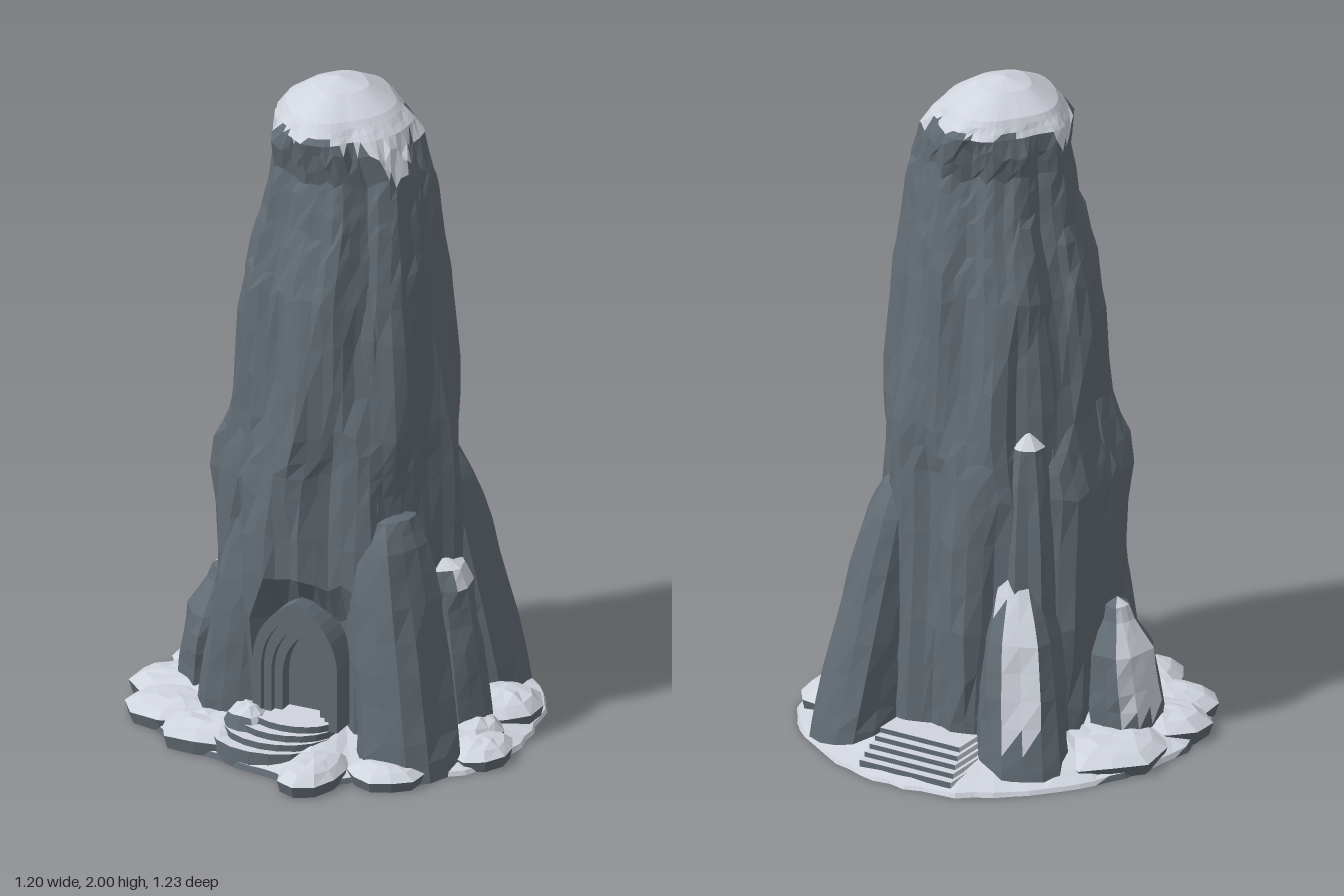
import * as THREE from 'three';

const rock = new THREE.MeshStandardMaterial({ color: 0x626c74, flatShading: true });
rock.name = 'slate rock';
const snow = new THREE.MeshStandardMaterial({ color: 0xd0d4dd, flatShading: true });
snow.name = 'snow';

const TAU = Math.PI * 2;
const hash = (a, b, c = 0) => {
  const s = Math.sin(a * 127.1 + b * 311.7 + c * 74.7) * 43758.5453;
  return (s - Math.floor(s)) * 2 - 1;
};
// triangle wave, gives sharp vertical folds
const fold = (t) => Math.abs(t - Math.floor(t) - 0.5) * 4 - 1;
const lerp = (a, b, t) => a + (b - a) * t;

// sample a table of rows at a fractional index
function sample(rows, f) {
  const i = Math.min(Math.floor(f), rows.length - 2);
  return rows[i].map((a, k) => lerp(a, rows[i + 1][k], f - i));
}

// closed skin from rings; each triangle is rock or snow according to a rule
function skin(name, nu, nv, point, isSnow) {
  const lists = [[], []];
  const grid = [];
  for (let j = 0; j <= nv; j++) {
    grid.push([]);
    for (let i = 0; i < nu; i++) grid[j].push(point(i, j));
  }
  const tri = (a, b, c) => {
    const n = b.clone().sub(a).cross(c.clone().sub(a));
    if (n.length() < 1e-9) return;
    const mid = a.clone().add(b).add(c).divideScalar(3);
    const list = lists[isSnow(mid, n.normalize()) ? 1 : 0];
    for (const p of [a, b, c]) list.push(p.x, p.y, p.z);
  };
  for (let j = 0; j < nv; j++) for (let i = 0; i < nu; i++) {
    const k = (i + 1) % nu;
    tri(grid[j][i], grid[j][k], grid[j + 1][k]);
    tri(grid[j][i], grid[j + 1][k], grid[j + 1][i]);
  }
  const g = new THREE.BufferGeometry();
  g.setAttribute('position', new THREE.Float32BufferAttribute(lists[0].concat(lists[1]), 3));
  g.addGroup(0, lists[0].length / 3, 0);
  g.addGroup(lists[0].length / 3, lists[1].length / 3, 1);
  g.computeVertexNormals();
  const mesh = new THREE.Mesh(g, [rock, snow]);
  mesh.name = name;
  return mesh;
}

// main spire: y, min x, max x, min z, max z
function makeTower() {
  const rows = [
    [0, -0.31, 0.34, -0.38, 0.34], [0.4, -0.345, 0.345, -0.38, 0.34], [0.8, -0.35, 0.35, -0.355, 0.335],
    [1.0, -0.3, 0.345, -0.335, 0.325], [1.4, -0.27, 0.31, -0.28, 0.285], [1.6, -0.215, 0.29, -0.235, 0.24],
    [1.75, -0.195, 0.27, -0.2, 0.21], [1.88, -0.19, 0.22, -0.23, 0.24], [1.93, -0.155, 0.17, -0.19, 0.195],
    [1.98, -0.08, 0.09, -0.09, 0.09], [2, 0, 0, 0, 0]];
  const nu = 56, nv = (rows.length - 1) * 3;
  return skin('rockSpire', nu, nv, (i, j) => {
    const [y, x0, x1, z0, z1] = sample(rows, j / 3);
    const rough = y > 1.9 ? 0.15 : y > 1.85 ? 0.5 : 1;
    const u = i / nu, a = u * TAU + 0.025 * rough * hash(i, Math.floor(j / 3));
    const folds = 0.06 * fold(7 * u + 0.25 * Math.sin(y * 3)) + 0.035 * fold(12 * u - 0.35 * Math.sin(y * 2.3 + 1))
      + 0.015 * hash(i, Math.floor(j / 2), 2);
    // the cap is diamond shaped in plan
    const s = (1 + rough * (folds - 0.01)) * (y > 1.85 ? 1 - 0.1 * Math.sin(2 * a) ** 2 : 1);
    const x = (x0 + x1) / 2 + Math.sin(a) * s * (x1 - x0) / 2;
    let z = (z0 + z1) / 2 + Math.cos(a) * s * (z1 - z0) / 2;
    // recess behind the doorway
    if (Math.abs(x - 0.03) < 0.14 && y < 0.5) z = Math.min(z, 0.25);
    const jy = y > 0.05 && y < 1.87 ? 0.02 * hash(i, j, 3) : 0;
    return new THREE.Vector3(x, y + jy, z);
  }, (m) => {
    // jagged snow line with tongues hanging down the sides
    const a = Math.atan2(m.x, m.z);
    const tongues = 0.11 * Math.max(0, Math.cos(a - 1.15)) ** 14 + 0.04 * Math.max(0, Math.cos(a - 1.8)) ** 8
      + 0.07 * Math.max(0, Math.cos(a + 1.35)) ** 8;
    return m.y > 1.885 - tongues + 0.015 * Math.sin(a * 9);
  });
}

// leaning rock pillar, its axis drawn toward the spire as it rises; faces turned to snowDir are snowy
function makePillar(name, [x, z, h, rx, rz, lean, top], seed, snowDir, limit) {
  const rows = [[0, 1], [0.15, 1.02], [0.4, 0.97], [0.65, 0.88], [0.85, top], [0.95, top * 0.75], [1, 0]];
  const nu = 14, toward = new THREE.Vector3(...snowDir).normalize();
  return skin(name, nu, 12, (i, j) => {
    const [t, s] = sample(rows, j / 2);
    const a = i / nu * TAU;
    const w = s * (1 + 0.08 * fold(5 * i / nu + seed * 0.37 + 0.3 * t) + 0.06 * hash(i, Math.floor(j / 2), seed));
    const k = 1 - lean * t;
    return new THREE.Vector3(x * k + Math.sin(a) * rx * w, t * h, z * k + Math.cos(a) * rz * w);
  }, (m, n) => n.dot(toward) > limit && m.y > 0.2 * h);
}

// low, broad boulder on the ground with a snowy top
function makeBoulder(x, z, h, rx, rz, seed) {
  const rows = [[0, 0], [0, 0.95], [0.5, 1.03], [0.85, 0.75], [1, 0.4], [1.03, 0]];
  return skin('boulder', 10, 5, (i, j) => {
    const [t, s] = rows[j];
    const a = i / 10 * TAU, w = s * (1 + 0.12 * hash(i, 1, seed));
    return new THREE.Vector3(x + Math.sin(a) * rx * w, t * h * (1 + 0.06 * hash(i * (j < 5), j, seed)), z + Math.cos(a) * rz * w);
  }, (m, n) => n.y > 0.4 || n.y < -0.5);
}

// snowy ground, radius every 15 degrees from the front toward +x
function makeGround() {
  const radii = [0.5, 0.56, 0.5, 0.52, 0.56, 0.6, 0.58, 0.58, 0.6, 0.6, 0.6, 0.61, 0.61, 0.62, 0.6, 0.58, 0.58, 0.58,
    0.59, 0.59, 0.59, 0.53, 0.5, 0.49];
  const rows = [[0, 0], [1, 0], [0.99, 0.015], [0.9, 0.032], [0.72, 0.06], [0.5, 0.09], [0, 0.09]];
  const nu = 72;
  return skin('snowyGround', nu, rows.length - 1, (i, j) => {
    const a = i / nu * TAU, f = i / 3, k = Math.floor(f);
    const r = lerp(radii[k], radii[(k + 1) % 24], f - k) * (1 + 0.012 * hash(i, 1));
    const [s, y] = rows[j];
    // drifts pile higher away from the back steps
    const drift = 1 + 0.2 * Math.cos(a + 0.5);
    const bump = j > 1 && j < 6 ? drift + 0.15 * hash(Math.floor(i / 3), j, 5) : 1;
    return new THREE.Vector3(Math.sin(a) * r * s, y * bump, Math.cos(a) * r * s);
  }, (m, n) => n.y > 0.35 || n.y < -0.5);
}

// pointed arch outline, standing on y = 0
function archPath(Type, w, h) {
  const p = new Type(), spring = h * 0.5;
  p.moveTo(-w, 0);
  p.lineTo(w, 0);
  p.lineTo(w, spring);
  p.quadraticCurveTo(w * 0.95, h * 0.82, 0, h);
  p.quadraticCurveTo(-w * 0.95, h * 0.82, -w, spring);
  p.closePath();
  return p;
}

function makeDoorway() {
  const door = new THREE.Group();
  door.name = 'doorway';
  const sizes = [[0.135, 0.385, 0.13], [0.108, 0.345, 0.11], [0.085, 0.3, 0.088], [0.06, 0.26, 0.045]];
  sizes.forEach(([w, h, depth], i) => {
    const shape = archPath(THREE.Shape, w, h);
    if (i < 3) shape.holes.push(archPath(THREE.Path, ...sizes[i + 1]));
    const m = new THREE.Mesh(new THREE.ExtrudeGeometry(shape, { depth, bevelEnabled: false, curveSegments: 8 }), rock);
    m.name = i < 3 ? 'archMoulding' : 'doorPanel';
    door.add(m);
  });
  door.position.set(0.028, 0.1, 0.215);
  return door;
}

export function createModel() {
  const model = new THREE.Group();
  model.name = 'snowyRockTower';
  model.add(makeGround(), makeTower(), makeDoorway());

  // rock pillars: [x, z, height, radii, lean, top width], snowy direction and limit
  const up = [0, 1, 0];
  const pillars = [
    ['frontLeftButtress', [0.345, 0.245, 0.78, 0.145, 0.155, 0.34, 0.75], up, 1],
    ['leftButtress', [0.4, 0, 0.56, 0.09, 0.1, 0.16, 0.85], [0.8, 1, 0], 0.8],
    ['backLeftButtress', [0.305, -0.34, 0.82, 0.12, 0.135, 0.36, 0.75], up, 1],
    ['backRightButtress', [-0.25, -0.355, 0.62, 0.13, 0.115, 0.3, 0.6], [-0.35, 0.4, -0.8], 0.88],
    ['rightButtress', [-0.39, 0.03, 0.43, 0.1, 0.13, 0.1, 0.4], [-0.8, 0.5, -0.45], 0.78],
    ['frontRightButtress', [-0.23, 0.2, 0.74, 0.11, 0.12, 0.22, 0.65], up, 1],
    ['tallFrontLeftRidge', [0.235, 0.18, 1.52, 0.09, 0.1, 0.25, 0.8], up, 1],
    ['tallFrontRightRidge', [-0.19, 0.13, 1.5, 0.11, 0.12, 0.18, 0.85], up, 1],
    ['tallBackRightRidge', [-0.19, -0.18, 1.42, 0.11, 0.11, 0.22, 0.8], up, 1],
    ['tallBackLeftRidge', [0.2, -0.18, 1.5, 0.11, 0.11, 0.25, 0.8], up, 1],
    ['overhangingFrontRidge', [0.045, 0.15, 1.38, 0.055, 0.09, -0.5, 0.85], up, 1],
    ['snowyBackShelf', [-0.21, -0.24, 1.02, 0.09, 0.09, 0.05, 0.7], up, 0.6]];
  pillars.forEach(([name, dims, dir, limit], i) => model.add(makePillar(name, dims, i + 1, dir, limit)));

  // boulders: x, z, height, radii
  const boulders = [
    [0.15, 0.47, 0.07, 0.095, 0.14], [0.51, 0.11, 0.065, 0.09, 0.11], [0.33, 0.38, 0.06, 0.11, 0.1],
    [-0.44, 0.1, 0.08, 0.155, 0.13], [-0.4, 0.24, 0.075, 0.16, 0.12], [-0.24, 0.36, 0.085, 0.15, 0.11],
    [-0.12, 0.35, 0.14, 0.07, 0.07], [-0.42, -0.13, 0.07, 0.14, 0.19], [0.44, -0.17, 0.085, 0.11, 0.13],
    [0.44, 0.04, 0.09, 0.1, 0.1]];
  boulders.forEach((b, i) => model.add(makeBoulder(...b, i + 1)));

  // rounded front steps
  for (let i = 0; i < 4; i++) {
    const h = 0.12 - i * 0.02;
    const step = new THREE.Mesh(new THREE.CylinderGeometry(1, 1, h, 20), [rock, snow, snow]);
    step.scale.set(0.13 + i * 0.022, 1, 0.09 + i * 0.03);
    step.position.set(0.01 - i * 0.02, h / 2, 0.31);
    step.name = 'frontStep';
    model.add(step);
  }

  // straight back steps
  for (let i = 0; i < 5; i++) {
    const h = 0.095 - i * 0.015, far = 0.46 + i * 0.028;
    const step = new THREE.Mesh(new THREE.BoxGeometry(0.27 + i * 0.01, h, far - 0.3), [snow, snow, snow, snow, rock, rock]);
    step.position.set(0.025 - i * 0.004, h / 2, -(far + 0.3) / 2);
    step.rotation.y = -0.07;
    step.name = 'backStep';
    model.add(step);
  }
  return model;
}
